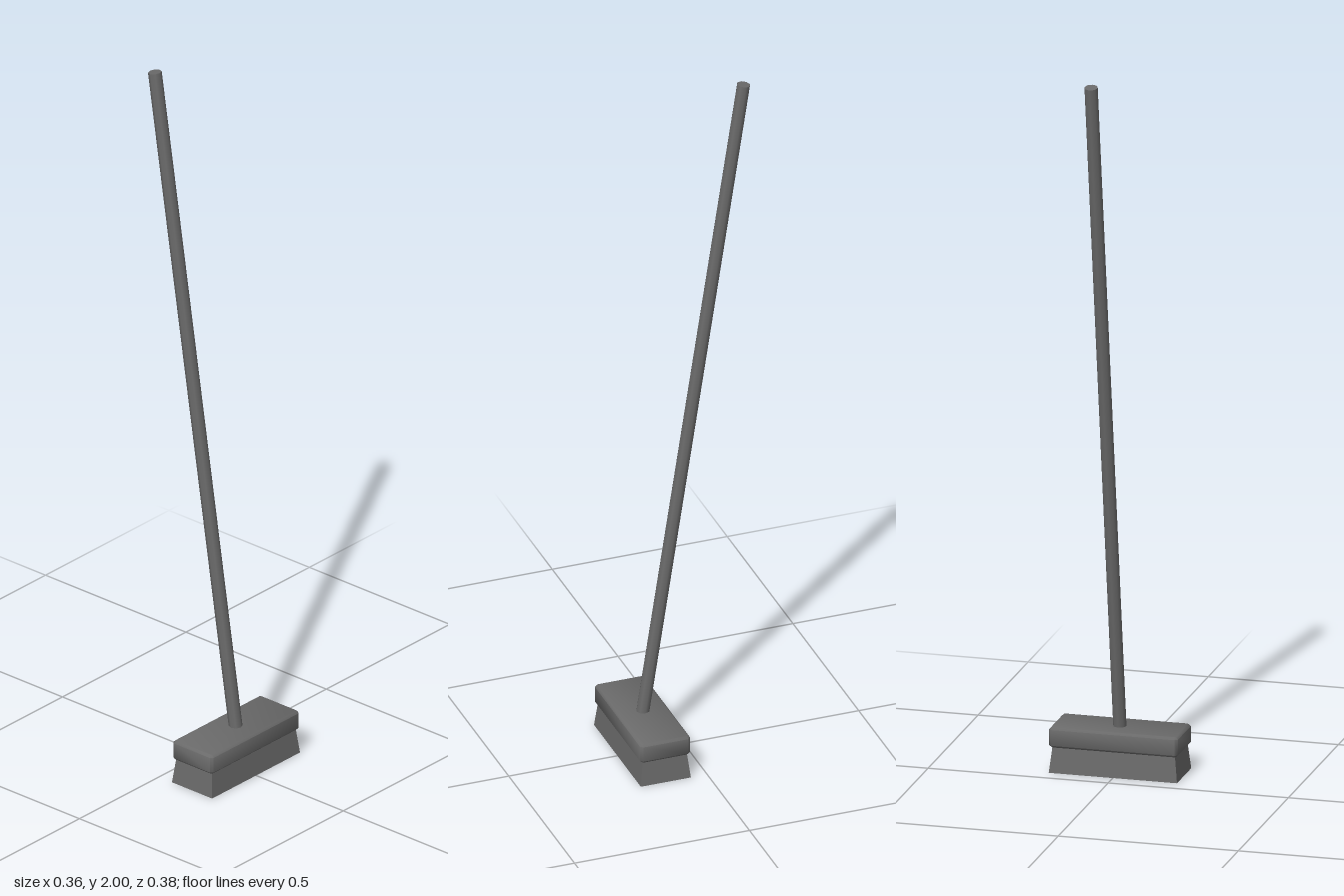
import * as THREE from 'three';
import { toCreasedNormals } from 'three/addons/utils/BufferGeometryUtils.js';

const HEAD_Z = 0.118;

export function createModel() {
  const model = new THREE.Group();
  const material = new THREE.MeshStandardMaterial({ color: 0x6a6a6a });
  const add = (name, geometry) => {
    const mesh = new THREE.Mesh(geometry, material);
    mesh.name = name;
    model.add(mesh);
    return mesh;
  };

  // Head block: rectangle with clipped corners and a softened bevel
  const bevel = 0.006, c = 0.004;
  const w = 0.179 - bevel, d = 0.0715 - bevel;
  const outline = new THREE.Shape([
    [w, -d + c], [w, d - c], [w - c, d], [-w + c, d],
    [-w, d - c], [-w, -d + c], [-w + c, -d], [w - c, -d],
  ].map(([x, y]) => new THREE.Vector2(x, y)));
  const block = new THREE.ExtrudeGeometry(outline, {
    depth: 0.056 - 2 * bevel, bevelEnabled: true, bevelSize: bevel,
    bevelThickness: bevel, bevelSegments: 1,
  });
  block.rotateX(-Math.PI / 2);
  block.translate(0, 0.07 + bevel, HEAD_Z);
  add('headBlock', toCreasedNormals(block, Math.PI / 3.5));

  // Bristles: box flaring slightly towards the floor
  const bristles = new THREE.BoxGeometry(0.356, 0.08, 0.143);
  const pos = bristles.attributes.position;
  for (let i = 0; i < pos.count; i++) {
    if (pos.getY(i) > 0) {
      pos.setX(i, pos.getX(i) * 0.95);
      pos.setZ(i, pos.getZ(i) * 0.87);
    }
  }
  bristles.computeVertexNormals();
  bristles.translate(0, 0.04, HEAD_Z);
  add('bristles', bristles);

  // Handle: eight-sided pole leaning backwards
  const foot = new THREE.Vector3(0, 0.09, 0.122);
  const top = new THREE.Vector3(0, 1.997, -0.171);
  const axis = top.clone().sub(foot);
  const handle = add('handle', new THREE.CylinderGeometry(0.0185, 0.0185, axis.length(), 8));
  handle.position.copy(foot).add(top).multiplyScalar(0.5);
  handle.quaternion.setFromUnitVectors(new THREE.Vector3(0, 1, 0), axis.normalize());

  return model;
}
